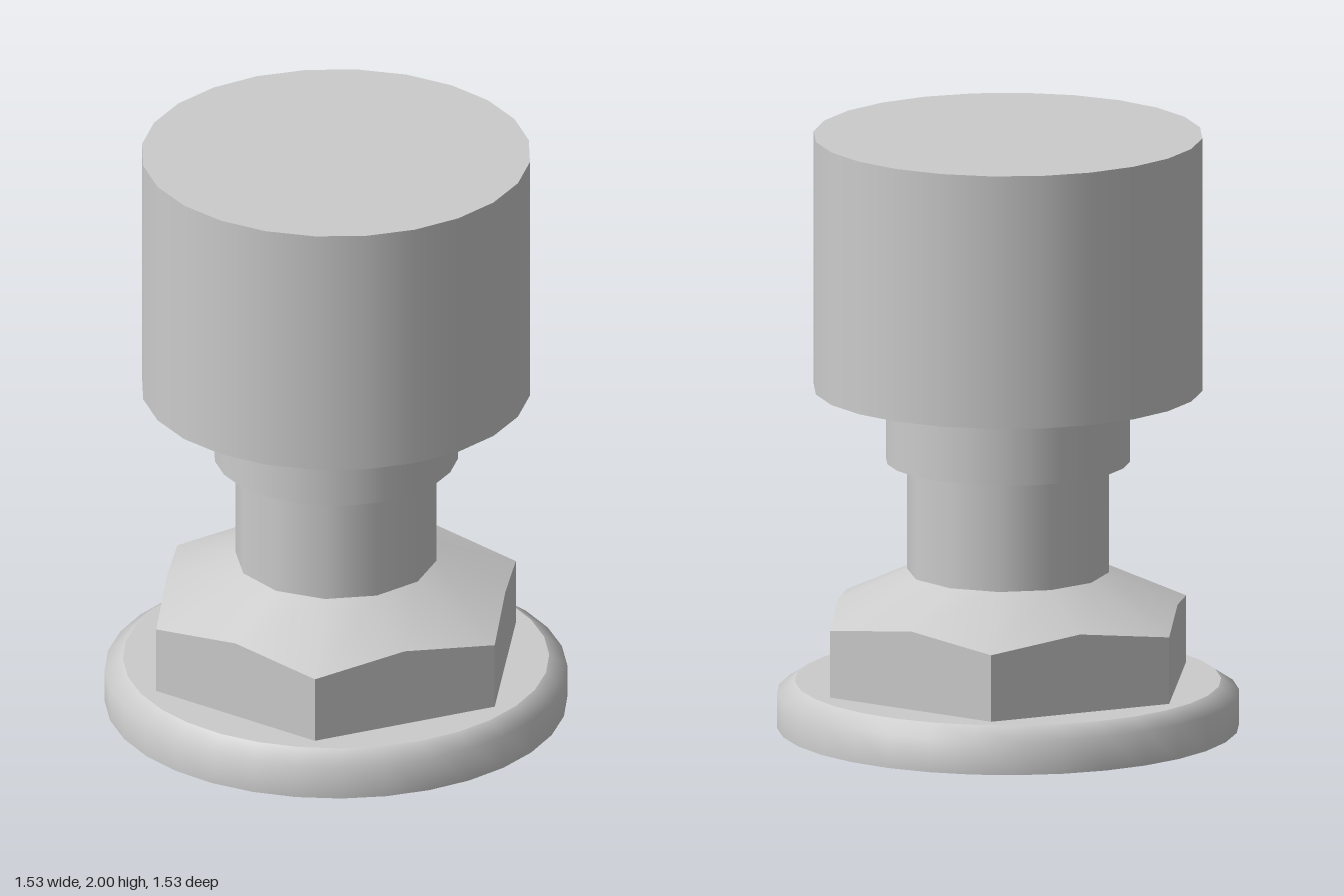
import * as THREE from 'three';

const DEG = Math.PI / 180;
const HEX_R = 0.65;              // corner radius of the hex nut
const HEX_IN = HEX_R * Math.cos(30 * DEG);
const STEM_R = 0.335;
const FLANGE_Y = 0.155;

// Corner points of a regular polygon in the xy plane, first corner on +x
function polygon(radius, sides) {
  return Array.from({ length: sides }, (_, i) => {
    const a = (i / sides) * Math.PI * 2;
    return new THREE.Vector2(Math.cos(a) * radius, Math.sin(a) * radius);
  });
}

// Height of the chamfer cone at a given radius
function coneY(r) {
  return THREE.MathUtils.mapLinear(r, STEM_R, HEX_R, 0.525, 0.38);
}

// Pull the lower (or every) ring of a 12-sided tube on to the hexagon outline;
// vertices at odd multiples of 30 degrees are corners, the rest mid-sides
function fitHex(geometry, place) {
  const p = geometry.attributes.position;
  for (let i = 0; i < p.count; i++) {
    const angle = Math.atan2(p.getX(i), p.getZ(i));
    const corner = Math.abs(Math.round(angle / (30 * DEG))) % 2 === 1;
    const [r, y] = place(corner ? HEX_R : HEX_IN, p.getY(i) > 0);
    p.setXYZ(i, Math.sin(angle) * r, y, Math.cos(angle) * r);
  }
  return geometry;
}

export function createModel() {
  const model = new THREE.Group();
  const solid = new THREE.MeshStandardMaterial({ color: 0xcccccc });
  const thin = new THREE.MeshStandardMaterial({ color: 0xcccccc, side: THREE.DoubleSide });

  function add(name, geometry, material = solid, parent = model) {
    const mesh = new THREE.Mesh(geometry, material);
    mesh.name = name;
    parent.add(mesh);
    return mesh;
  }

  function cylinder(name, radius, y0, y1, sides) {
    add(name, new THREE.CylinderGeometry(radius, radius, y1 - y0, sides)).position.y = (y0 + y1) / 2;
  }

  // Head, collar and stem
  cylinder('head', 0.645, 1.145, 2, 24);
  cylinder('collar', 0.405, 0.9, 1.145, 24);
  cylinder('stem', STEM_R, 0.52, 0.9, 12);

  // Hex nut: flat sides, conical chamfer, floor slightly recessed
  const nut = new THREE.Group();
  nut.name = 'hexNut';
  model.add(nut);

  const sides = fitHex(
    new THREE.CylinderGeometry(1, 1, 1, 12, 1, true),
    (r, top) => [r, top ? coneY(r) : FLANGE_Y],
  ).toNonIndexed();
  sides.computeVertexNormals();
  add('nutSides', sides, thin, nut);

  add('nutChamfer', fitHex(
    new THREE.CylinderGeometry(STEM_R, HEX_R, 0.145, 12, 1, true),
    (r, top) => (top ? [STEM_R, 0.525] : [r, coneY(r)]),
  ), thin, nut);

  const floor = add('nutFloor', new THREE.ShapeGeometry(new THREE.Shape(polygon(HEX_R, 6))), thin, nut);
  floor.rotation.x = Math.PI / 2;
  floor.position.y = FLANGE_Y + 0.01;

  // Hollow flange: thin rounded skirt and a top with a hexagonal opening
  const flange = new THREE.Group();
  flange.name = 'flange';
  model.add(flange);

  const profile = [[0.765, 0], [0.765, 0.115], [0.705, FLANGE_Y]].map(([r, y]) => new THREE.Vector2(r, y));
  add('flangeSkirt', new THREE.LatheGeometry(profile, 32), thin, flange);

  const ring = new THREE.Shape(polygon(0.705, 32));
  ring.holes.push(new THREE.Path(polygon(HEX_R, 6)));
  const top = add('flangeTop', new THREE.ShapeGeometry(ring), thin, flange);
  top.rotation.x = -Math.PI / 2;
  top.position.y = FLANGE_Y;

  return model;
}
